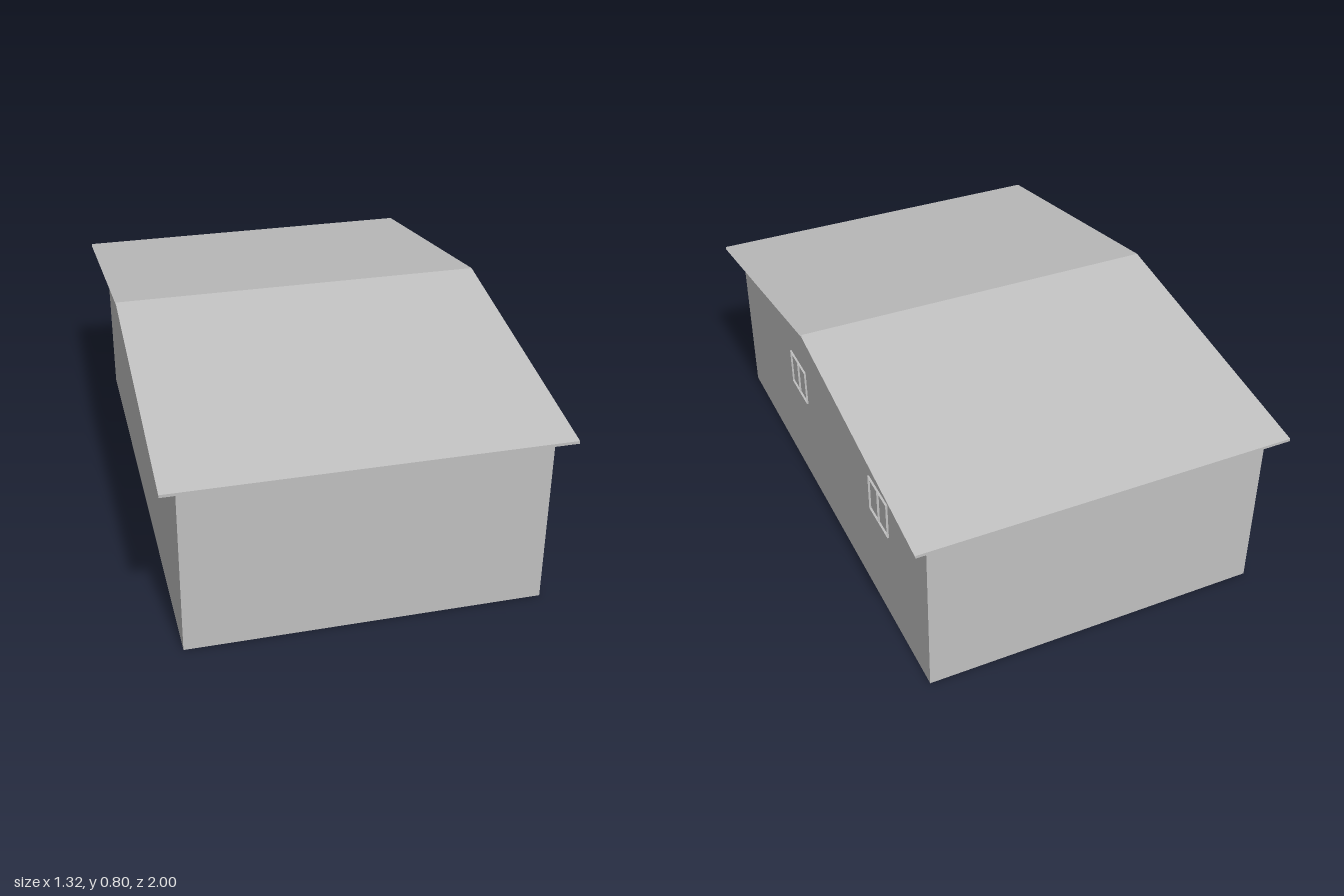
import * as THREE from 'three';

const grey = new THREE.MeshStandardMaterial({ color: 0xc0c0c0, side: THREE.DoubleSide });
grey.name = 'plainGrey';

// Sweeps a closed [z, y] outline along x, leaving the ends open
function sweep(name, outline, x0, x1) {
  const pos = [];
  outline.forEach(([za, ya], i) => {
    const [zb, yb] = outline[(i + 1) % outline.length];
    pos.push(x0, ya, za, x0, yb, zb, x1, yb, zb);
    pos.push(x0, ya, za, x1, yb, zb, x1, ya, za);
  });
  const geo = new THREE.BufferGeometry();
  geo.setAttribute('position', new THREE.Float32BufferAttribute(pos, 3));
  geo.computeVertexNormals();
  const mesh = new THREE.Mesh(geo, grey);
  mesh.name = name;
  return mesh;
}

// Rectangle outline, counter-clockwise seen from -x
const rect = (z0, z1, y0, y1) => [[z1, y0], [z1, y1], [z0, y1], [z0, y0]];

export function createModel() {
  const model = new THREE.Group();
  model.name = 'house';
  const W = 0.605, D = 0.945, EAVE = 0.635, RIDGE = 0.796;

  // Gable walls
  const gable = new THREE.Shape([[-D, 0], [D, 0], [D, EAVE], [0, RIDGE], [-D, EAVE]]
    .map(([z, y]) => new THREE.Vector2(z, y)));
  for (const side of [1, -1]) {
    const wall = new THREE.Mesh(new THREE.ShapeGeometry(gable), grey);
    wall.name = side > 0 ? 'leftGableWall' : 'rightGableWall';
    wall.rotation.y = side * Math.PI / 2;
    wall.position.x = side * W;
    model.add(wall);

    // Front and back walls
    const long = new THREE.Mesh(new THREE.PlaneGeometry(2 * W, EAVE), grey);
    long.name = side > 0 ? 'frontWall' : 'backWall';
    long.rotation.y = side > 0 ? 0 : Math.PI;
    long.position.set(0, EAVE / 2, side * D);
    model.add(long);
  }

  // Thin pitched roof, open at the gable ends
  model.add(sweep('roof', [
    [1, 0.627], [0, 0.798], [-1, 0.627], [-1, 0.617], [0, 0.788], [1, 0.617],
  ].reverse(), -0.66, 0.66));

  // Raised floor inside the open base
  const floor = new THREE.Mesh(new THREE.BoxGeometry(2 * W - 0.01, 0.02, 2 * D - 0.01), grey);
  floor.name = 'floor';
  floor.position.y = 0.23;
  model.add(floor);

  // Two double-pane window frames on the left gable
  for (const z of [0.27, -0.54]) {
    const frame = new THREE.Group();
    frame.name = 'windowFrame';
    frame.add(sweep('outerFrame', rect(z - 0.083, z + 0.083, 0.365, 0.505), W, W + 0.005));
    for (const s of [-1, 1]) {
      const c = z + s * 0.04;
      frame.add(sweep('paneFrame', rect(c - 0.036, c + 0.036, 0.372, 0.498), W, W + 0.005));
    }
    model.add(frame);
  }
  return model;
}
